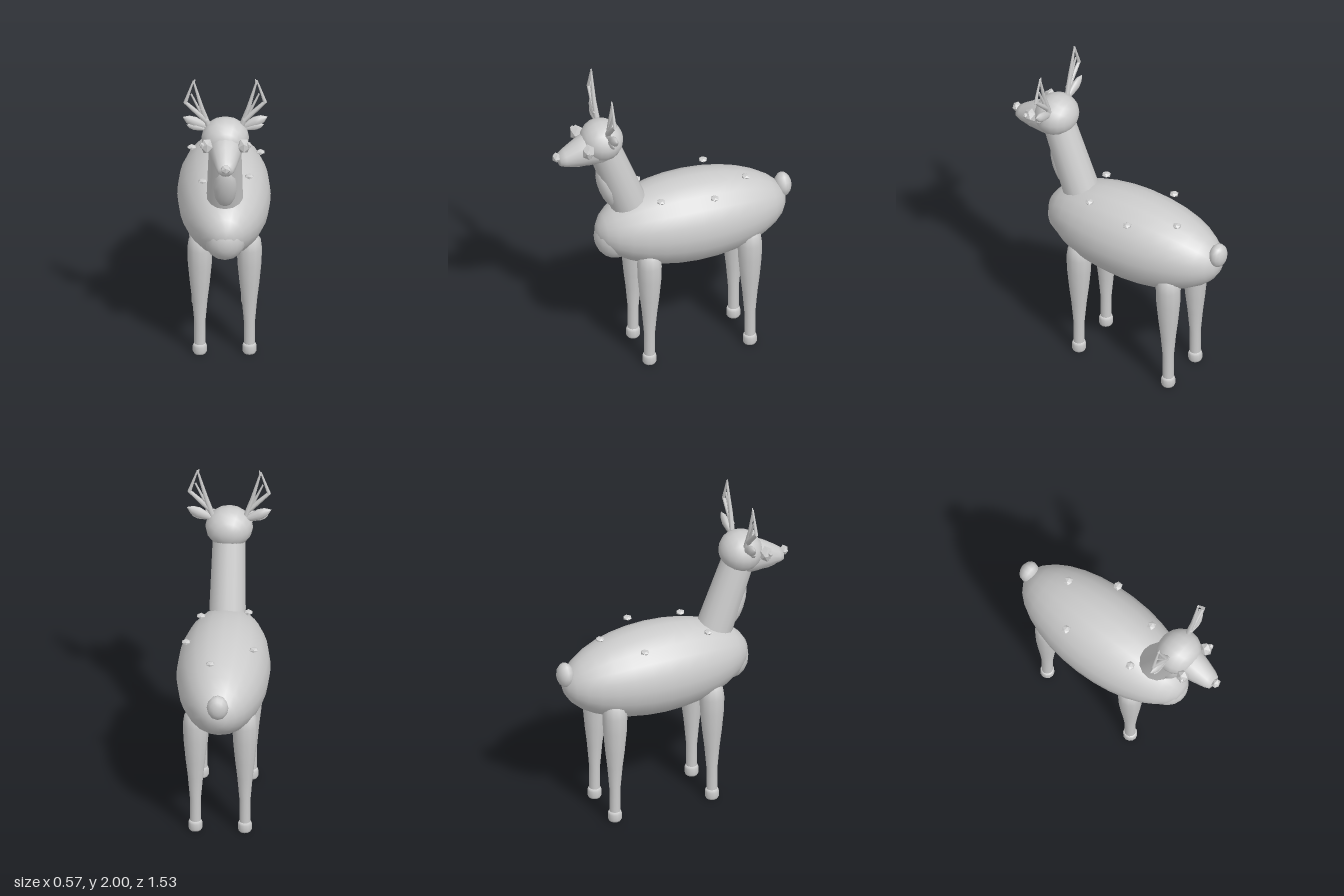
import * as THREE from 'three';

export function createModel() {
  const deer = new THREE.Group();
  deer.name = 'deer';
  const grey = new THREE.MeshStandardMaterial({ color: 0xcccccc });
  grey.name = 'plain grey';

  const V = (x, y, z) => new THREE.Vector3(x, y, z);
  const add = (name, geometry, parent = deer) => {
    const mesh = new THREE.Mesh(geometry, grey);
    mesh.name = name;
    parent.add(mesh);
    return mesh;
  };
  // Ellipsoid with its poles along z
  const blob = (name, pos, r, seg = 16, parent = deer) => {
    const g = new THREE.SphereGeometry(1, seg, Math.max(6, seg / 2 + 2));
    g.rotateX(Math.PI / 2).scale(r[0], r[1], r[2]);
    const mesh = add(name, g, parent);
    mesh.position.set(...pos);
    return mesh;
  };
  // Tapered bar between two points
  const bar = (name, a, b, ra, rb, sides, parent = deer) => {
    const dir = b.clone().sub(a);
    const mesh = add(name, new THREE.CylinderGeometry(rb, ra, dir.length(), sides), parent);
    mesh.position.copy(a).addScaledVector(dir, 0.5);
    mesh.quaternion.setFromUnitVectors(V(0, 1, 0), dir.normalize());
    return mesh;
  };
  // Faceted little lump
  const pebble = (name, pos, r, parent = deer) => {
    const g = new THREE.IcosahedronGeometry(1, 0);
    g.scale(r[0], r[1], r[2]);
    const mesh = add(name, g, parent);
    mesh.position.set(...pos);
    return mesh;
  };

  // Trunk
  const body = add('body', new THREE.SphereGeometry(1, 20, 16)
    .rotateX(Math.PI / 2).scale(0.283, 0.285, 0.605));
  body.position.set(0, 0.925, -0.12);
  blob('chest', [0, 0.88, 0.36], [0.13, 0.145, 0.13]);
  blob('tail', [0, 1.01, -0.713], [0.066, 0.08, 0.052], 12);

  // Neck and throat
  bar('neck', V(0, 1.12, 0.28), V(0, 1.53, 0.43), 0.112, 0.1, 14);
  blob('throat', [0, 1.245, 0.405], [0.073, 0.17, 0.06], 12).rotation.x = 0.33;

  // Head
  blob('skull', [0, 1.605, 0.45], [0.145, 0.128, 0.132], 16);
  const rings = [ // z, centre y, half width, half height
    [0.45, 1.565, 0.115, 0.11], [0.54, 1.56, 0.1, 0.11], [0.62, 1.54, 0.08, 0.085],
    [0.69, 1.522, 0.06, 0.055], [0.72, 1.515, 0.045, 0.038], [0.727, 1.515, 0.001, 0.001]];
  const muzzle = new THREE.CylinderGeometry(1, 1, 1, 14, rings.length - 1, true);
  const p = muzzle.attributes.position;
  for (let i = 0; i < p.count; i++) {
    const [z, cy, w, h] = rings[Math.round((p.getY(i) + 0.5) * (rings.length - 1))];
    p.setXYZ(i, p.getX(i) * w, cy - p.getZ(i) * h, z);
  }
  muzzle.computeVertexNormals();
  add('muzzle', muzzle);
  blob('jaw', [0, 1.488, 0.59], [0.06, 0.036, 0.115], 10);
  pebble('nose', [0, 1.535, 0.738], [0.033, 0.031, 0.026]);

  // Eyes, ears and antlers on both sides
  for (const s of [-1, 1]) {
    const side = s > 0 ? 'left' : 'right';
    pebble(side + 'Eye', [s * 0.112, 1.608, 0.57], [0.04, 0.052, 0.042]);
    pebble(side + 'EyeGlint', [s * 0.142, 1.622, 0.585], [0.016, 0.02, 0.017]);

    // Ear: flattened spindle with a shorter inner lobe
    const ear = new THREE.Group();
    ear.name = side + 'Ear';
    deer.add(ear);
    const lobe = (name, a, b, width, depth) => {
      const len = a.distanceTo(b);
      const g = new THREE.LatheGeometry([[0.2, 0], [0.7, 0.3], [1, 0.6], [0.75, 0.82], [0.001, 1]]
        .map(([r, y]) => new THREE.Vector2(r * width, y * len)), 10);
      g.scale(1, 1, depth / width);
      const mesh = add(name, g, ear);
      mesh.position.copy(a);
      mesh.rotation.z = -Math.atan2(b.x - a.x, b.y - a.y);
    };
    lobe('earShell', V(s * 0.08, 1.655, 0.435), V(s * 0.257, 1.738, 0.435), 0.034, 0.022);
    lobe('innerEar', V(s * 0.11, 1.655, 0.445), V(s * 0.235, 1.69, 0.445), 0.022, 0.012);

    // Antler: inner beam, outer branch and a small twig at the tip
    const antler = new THREE.Group();
    antler.name = side + 'Antler';
    deer.add(antler);
    const at = (x, y, z = 0.447) => V(s * x, y, z);
    bar('beam', at(0.1, 1.68, 0.44), at(0.14, 1.8), 0.018, 0.014, 6, antler);
    bar('upperBeam', at(0.14, 1.8), at(0.192, 1.99), 0.014, 0.006, 6, antler);
    bar('branch', at(0.115, 1.72), at(0.242, 1.845), 0.018, 0.011, 6, antler);
    bar('outerTine', at(0.242, 1.84), at(0.192, 1.99), 0.012, 0.005, 6, antler);
    bar('crossTine', at(0.145, 1.77), at(0.205, 1.9), 0.01, 0.006, 5, antler);
    bar('twig', at(0.19, 1.97), at(0.183, 2), 0.008, 0.003, 5, antler);
  }

  // Legs with hooves
  const legProfile = [[0.034, 0.05], [0.034, 0.22], [0.047, 0.37], [0.06, 0.48],
    [0.073, 0.62], [0.076, 0.72], [0.068, 0.78], [0.042, 0.82], [0.001, 0.83]];
  const hoofProfile = [[0.001, 0.005], [0.036, 0.005], [0.043, 0.018], [0.043, 0.055], [0.036, 0.072], [0.001, 0.074]];
  const lathe = (pts, stretch = 1) =>
    new THREE.LatheGeometry(pts.map(([r, y]) => new THREE.Vector2(r, y * stretch)), 12);
  for (const [end, z, stretch] of [['front', 0.193, 1], ['hind', -0.45, 1.03]]) {
    for (const s of [-1, 1]) {
      const leg = new THREE.Group();
      leg.name = end + (s > 0 ? 'LeftLeg' : 'RightLeg');
      leg.position.set(s * 0.15, 0, z);
      add('leg', lathe(legProfile, stretch), leg);
      add('hoof', lathe(hoofProfile), leg);
      deer.add(leg);
    }
  }

  // Spots above the back
  for (const [x, z] of [[0.06, -0.455], [-0.193, -0.27], [0.222, -0.2], [0.15, 0.118], [-0.132, 0.178]])
    pebble('spot', [x, 1.165, z], [0.029, 0.015, 0.029]);

  return deer;
}
